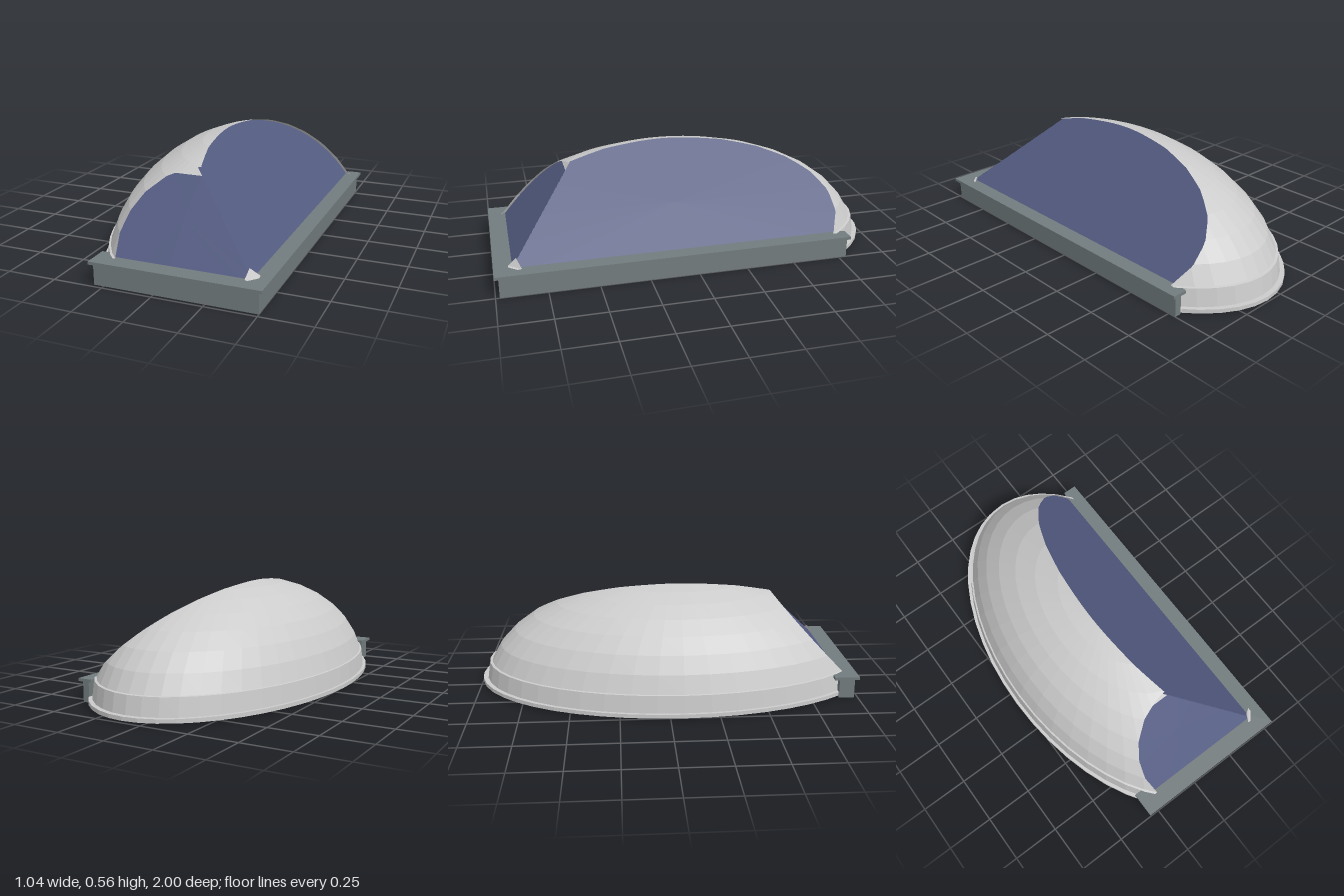
import * as THREE from 'three';

// Ellipsoid of the dome
const CENTRE = new THREE.Vector3(0.1, 0, 0.07);
const RADII = new THREE.Vector3(0.605, 0.565, 1.04);

// Sloping cut planes; the positive side is kept
const sidePlane = (k) => new THREE.Plane(new THREE.Vector3(-0.914, -1, 0), k);
const frontPlane = (k) => new THREE.Plane(new THREE.Vector3(0, -1, -1.065), k);
const limit = (x, y, z, k) => new THREE.Plane(new THREE.Vector3(x, y, z), k);

// Cuts every triangle of a geometry against a list of planes
function clip(geometry, planes) {
  const pos = (geometry.index ? geometry.toNonIndexed() : geometry).attributes.position;
  const out = [];
  for (let i = 0; i < pos.count; i += 3) {
    let poly = [0, 1, 2].map((j) => new THREE.Vector3().fromBufferAttribute(pos, i + j));
    for (const plane of planes) {
      const next = [];
      poly.forEach((a, j) => {
        const b = poly[(j + 1) % poly.length];
        const da = plane.distanceToPoint(a), db = plane.distanceToPoint(b);
        if (da >= 0) next.push(a);
        if (da * db < 0) next.push(a.clone().lerp(b, da / (da - db)));
      });
      poly = next;
    }
    for (let j = 1; j + 1 < poly.length; j++) out.push(...[poly[0], poly[j], poly[j + 1]].flatMap((p) => p.toArray()));
  }
  const result = new THREE.BufferGeometry();
  result.setAttribute('position', new THREE.Float32BufferAttribute(out, 3));
  result.computeVertexNormals();
  return result;
}

// Flat slice of the ellipsoid through a point, spanned by u and v
function slice(point, u, v, scale) {
  const p = point.clone().sub(CENTRE).divide(RADII);
  const rim = [];
  const n = 72;
  for (let i = 0; i <= n; i++) {
    const t = (i / n) * Math.PI * 2;
    const dir = u.clone().multiplyScalar(Math.cos(t)).addScaledVector(v, Math.sin(t));
    const d = dir.clone().divide(RADII);
    const a = d.dot(d), b = p.dot(d), c = p.dot(p) - scale * scale;
    rim.push(point.clone().addScaledVector(dir, (-b + Math.sqrt(b * b - a * c)) / a));
  }
  const fan = [];
  for (let i = 0; i < n; i++) fan.push(point, rim[i], rim[i + 1]);
  return new THREE.BufferGeometry().setFromPoints(fan);
}

export function createModel() {
  const model = new THREE.Group();
  const shell = new THREE.MeshStandardMaterial({ color: 0xcccccc, flatShading: true, side: THREE.DoubleSide });
  const glass = new THREE.MeshStandardMaterial({ color: 0x525a80, side: THREE.DoubleSide });
  const frame = new THREE.MeshStandardMaterial({ color: 0x727b7d });
  const add = (name, geometry, material) => {
    const mesh = new THREE.Mesh(geometry, material);
    mesh.name = name;
    model.add(mesh);
    return mesh;
  };

  // Dome with base flange and short upright wall
  const profile = [[0, 0.01], [1.03, 0.01], [1.03, 0.03], [1.005, 0.03], [0.99, 0.12]]
    .map(([r, y]) => new THREE.Vector2(r, y));
  const start = Math.asin(0.122 / RADII.y);
  for (let i = 0; i <= 8; i++) {
    const t = start + (Math.PI / 2 - start) * (i / 8);
    profile.push(new THREE.Vector2(Math.max(0, Math.cos(t)), RADII.y * Math.sin(t)));
  }
  const dome = new THREE.LatheGeometry(profile, 48);
  dome.scale(RADII.x, 1, RADII.z).translate(CENTRE.x, 0, CENTRE.z);
  add('dome', clip(dome, [sidePlane(0.55), frontPlane(1.11), limit(-1, 0, 0, 0.465), limit(0, 0, -1, 0.94)]), shell);

  // Large sloping side window
  const aboveSill = limit(0, 1, 0, -0.118);
  const along = new THREE.Vector3(0, 0, 1);
  const across = new THREE.Vector3(1, 0, 0);
  const sideSlice = slice(new THREE.Vector3(0.25, 0.522 - 0.914 * 0.25, 0.07), along,
    new THREE.Vector3(1, -0.914, 0).normalize(), 0.993);
  add('sideWindow', clip(sideSlice, [frontPlane(1.09), aboveSill]), glass);

  // Smaller front window with a level top edge, and the panel behind it
  const frontSlice = (k) => slice(new THREE.Vector3(0.05, k - 1.065 * 0.75, 0.75), across,
    new THREE.Vector3(0, -1.065, 1).normalize(), 0.993);
  add('frontWindow', clip(frontSlice(1.089), [sidePlane(0.523), aboveSill, limit(0, -1, 0, 0.452)]), glass);
  add('frontWindowHeader', clip(frontSlice(1.084), [sidePlane(0.521), limit(0, 1, 0, -0.44)]), shell);

  // L-shaped sill under both windows
  const outline = [[-0.315, 1], [0.52, 1], [0.52, -0.8], [0.445, -0.8], [0.42, -0.7], [0.42, 0.87], [-0.315, 0.87]];
  const sill = new THREE.ExtrudeGeometry(
    new THREE.Shape(outline.map(([x, z]) => new THREE.Vector2(x, -z))), { depth: 0.015, bevelEnabled: false });
  sill.rotateX(-Math.PI / 2).translate(0, 0.105, 0);
  add('sill', sill, frame);

  // Upright walls carrying the sill
  const wall = (name, x0, x1, z0, z1) => add(name,
    new THREE.BoxGeometry(x1 - x0, 0.105, z1 - z0).translate((x0 + x1) / 2, 0.0525, (z0 + z1) / 2), frame);
  wall('sideWall', 0.465, 0.5, -0.79, 0.98);
  wall('frontWall', -0.3, 0.465, 0.9, 0.98);

  return model;
}
